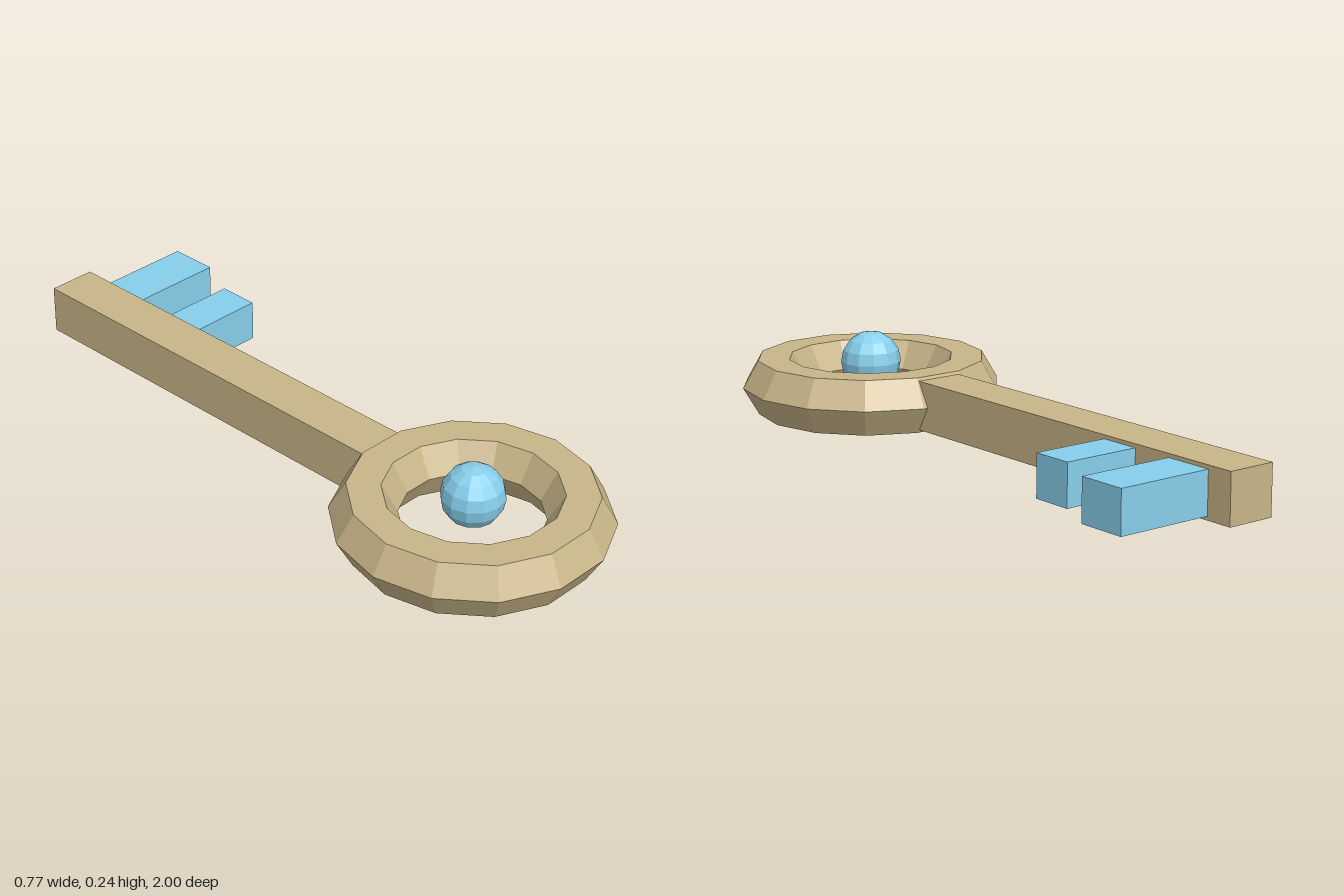
import * as THREE from 'three';

const MID_Y = 0.0815; // shared centre height of ring, shaft and teeth
const RING_Z = 0.623;

export function createModel() {
  const key = new THREE.Group();
  key.name = 'key';
  const gold = new THREE.MeshStandardMaterial({ color: 0xc8b588, flatShading: true });
  const blue = new THREE.MeshStandardMaterial({ color: 0x87ceeb, flatShading: true });

  const add = (name, geometry, material, x, y, z) => {
    const mesh = new THREE.Mesh(geometry, material);
    mesh.name = name;
    mesh.position.set(x, y, z);
    key.add(mesh);
  };

  // Handle ring, six-sided in section, lying flat
  add('handleRing', new THREE.TorusGeometry(0.293, 0.094, 6, 14).rotateX(Math.PI / 2), gold, 0, MID_Y, RING_Z);

  // Gem floating in the ring
  add('gem', new THREE.SphereGeometry(0.09, 12, 8), blue, 0, 0.148, RING_Z);

  // Shaft, its front end buried in the ring
  const back = -1, front = 0.33;
  add('shaft', new THREE.BoxGeometry(0.145, 0.145, front - back), gold, 0, MID_Y, (front + back) / 2);

  // Teeth on the left side: [outer x, centre z, depth]
  const inner = 0.065;
  const teeth = { longTooth: [0.363, -0.845, 0.147], shortTooth: [0.303, -0.584, 0.123] };
  for (const [name, [outer, z, depth]] of Object.entries(teeth)) {
    add(name, new THREE.BoxGeometry(outer - inner, 0.123, depth), blue, (outer + inner) / 2, MID_Y, z);
  }
  return key;
}
